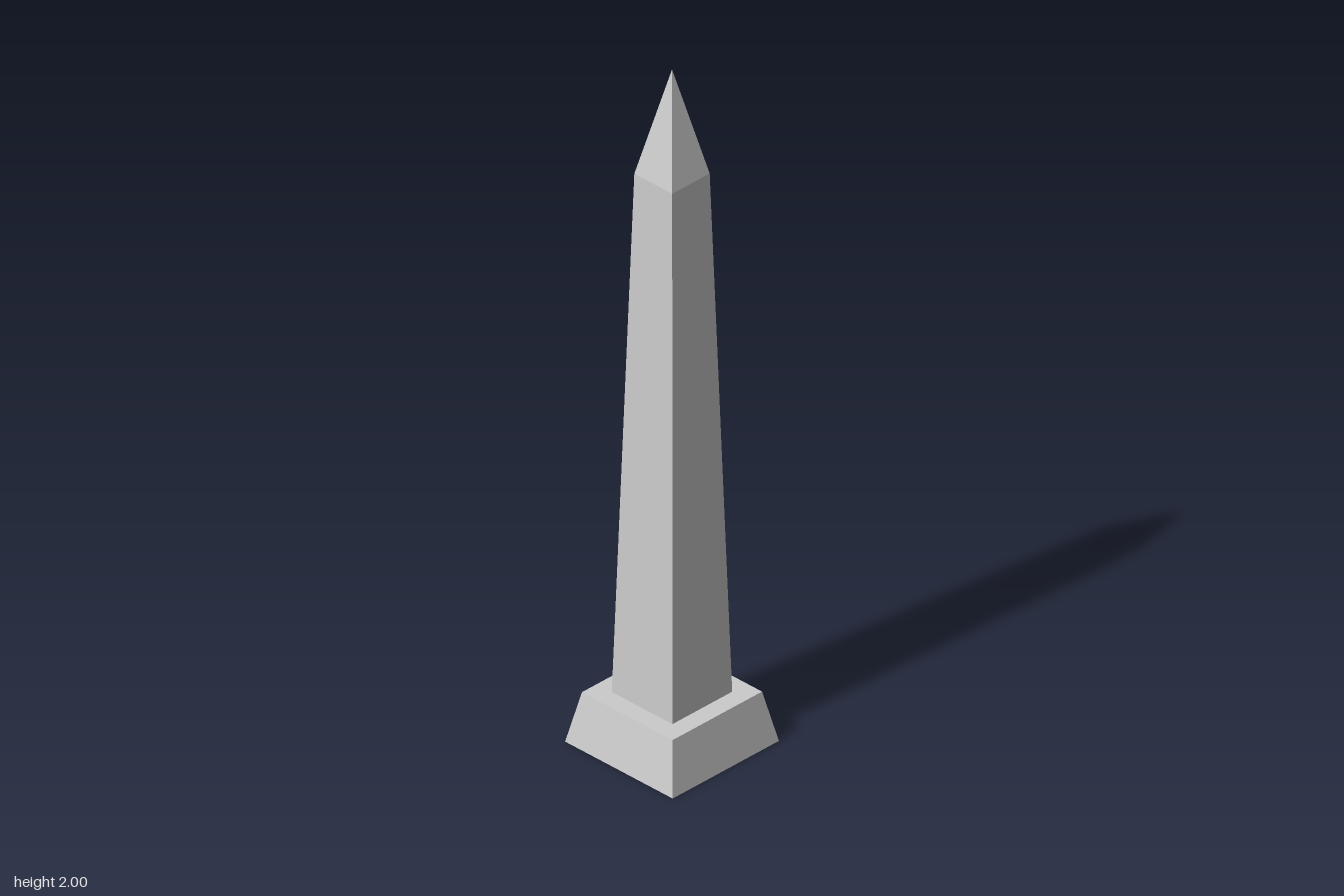
import * as THREE from 'three';

const solid = new THREE.MeshStandardMaterial({ color: 0xcccccc, flatShading: true });
const thin = new THREE.MeshStandardMaterial({ color: 0xcccccc, flatShading: true, side: THREE.DoubleSide });

// Heights of the stages and half widths of their square sections
const Y = { ledge: 0.147, shoulder: 1.69, tip: 2 };
const HALF = { foot: 0.19, ledge: 0.16, shaft: 0.107, shoulder: 0.067 };

// Square tapered stage between two heights, sides facing the axes
function stage(name, bottom, top, y0, y1, open, material) {
  const geometry = new THREE.CylinderGeometry(
    top * Math.SQRT2, bottom * Math.SQRT2, y1 - y0, 4, 1, open, Math.PI / 4);
  geometry.translate(0, (y0 + y1) / 2, 0);
  const mesh = new THREE.Mesh(geometry, material);
  mesh.name = name;
  return mesh;
}

export function createModel() {
  const group = new THREE.Group();
  group.name = 'obelisk';

  // Hollow plinth, open underneath
  group.add(stage('plinth', HALF.foot, HALF.ledge, 0, Y.ledge, true, thin));

  // Flat ledge around the foot of the shaft
  const ledge = new THREE.Mesh(
    new THREE.RingGeometry(HALF.shaft * Math.SQRT2, HALF.ledge * Math.SQRT2, 4, 1, Math.PI / 4), thin);
  ledge.name = 'plinthLedge';
  ledge.rotation.x = -Math.PI / 2;
  ledge.position.y = Y.ledge;
  group.add(ledge);

  // Tapering shaft and pointed cap
  group.add(stage('shaft', HALF.shaft, HALF.shoulder, Y.ledge, Y.shoulder, false, solid));
  group.add(stage('pyramidCap', HALF.shoulder, 0, Y.shoulder, Y.tip, true, solid));

  return group;
}
